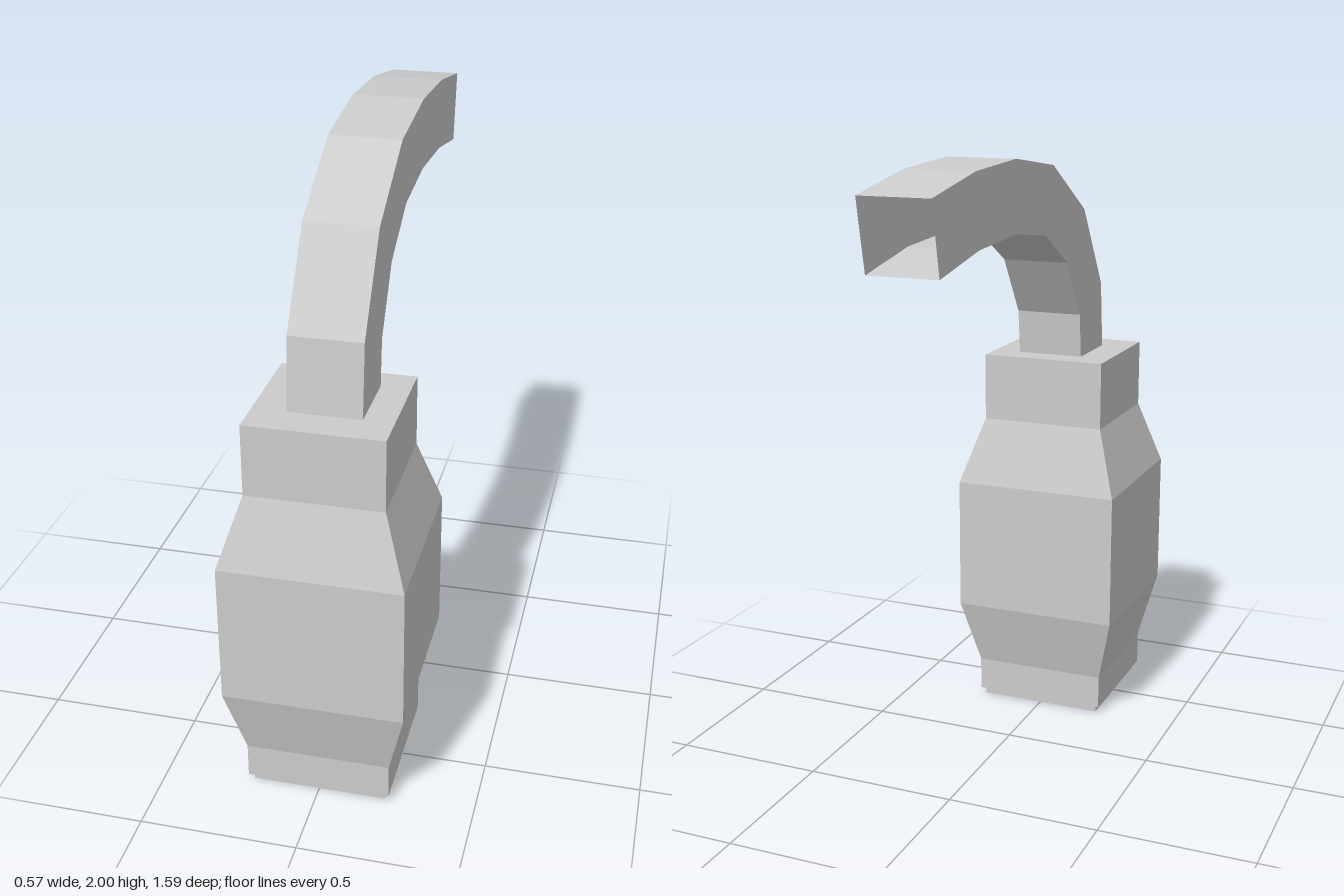
import * as THREE from 'three';

const material = () => new THREE.MeshStandardMaterial({
  color: 0xcccccc, flatShading: true, side: THREE.DoubleSide,
});

// Square turned shape from [half width, height] pairs
function squareLathe(profile) {
  const points = profile.map(([half, y]) => new THREE.Vector2(half * Math.SQRT2, y));
  return new THREE.LatheGeometry(points, 4, Math.PI / 4);
}

// Open square tube from [outer z, outer y, inner z, inner y] sections
function squareTube(sections, x0, x1) {
  const positions = [];
  const rings = sections.map(([oz, oy, iz, iy]) => [
    [x1, oy, oz], [x0, oy, oz], [x0, iy, iz], [x1, iy, iz],
  ]);
  for (let s = 0; s < rings.length - 1; s++) {
    const a = rings[s], b = rings[s + 1];
    for (let i = 0; i < 4; i++) {
      const j = (i + 1) % 4;
      positions.push(...a[j], ...a[i], ...b[i], ...a[j], ...b[i], ...b[j]);
    }
  }
  const geometry = new THREE.BufferGeometry();
  geometry.setAttribute('position', new THREE.Float32BufferAttribute(positions, 3));
  geometry.computeVertexNormals();
  return geometry;
}

export function createModel() {
  const group = new THREE.Group();

  // Hollow square body: cavity, bottom rim, stepped flange, bulge, neck, top
  const body = new THREE.Mesh(squareLathe([
    [0, 1.05], [0.195, 1.05], [0.195, 0],
    [0.215, 0], [0.215, 0.025], [0.23, 0.025], [0.23, 0.14],
    [0.286, 0.37], [0.286, 0.83], [0.214, 1.055], [0.214, 1.285], [0, 1.285],
  ]), material());
  body.name = 'body';
  body.position.z = 0.511;
  group.add(body);

  // Curved arm sweeping up and back, open at its end
  const arm = new THREE.Mesh(squareTube([
    [0.613, 1.285, 0.387, 1.285],
    [0.589, 1.515, 0.371, 1.435],
    [0.403, 1.793, 0.244, 1.63],
    [0.106, 1.96, 0.042, 1.743],
    [-0.207, 2.0, -0.207, 1.775],
    [-0.505, 1.985, -0.483, 1.76],
    [-0.797, 1.935, -0.753, 1.712],
  ], -0.108, 0.12), material());
  arm.name = 'curvedArm';
  group.add(arm);

  return group;
}
